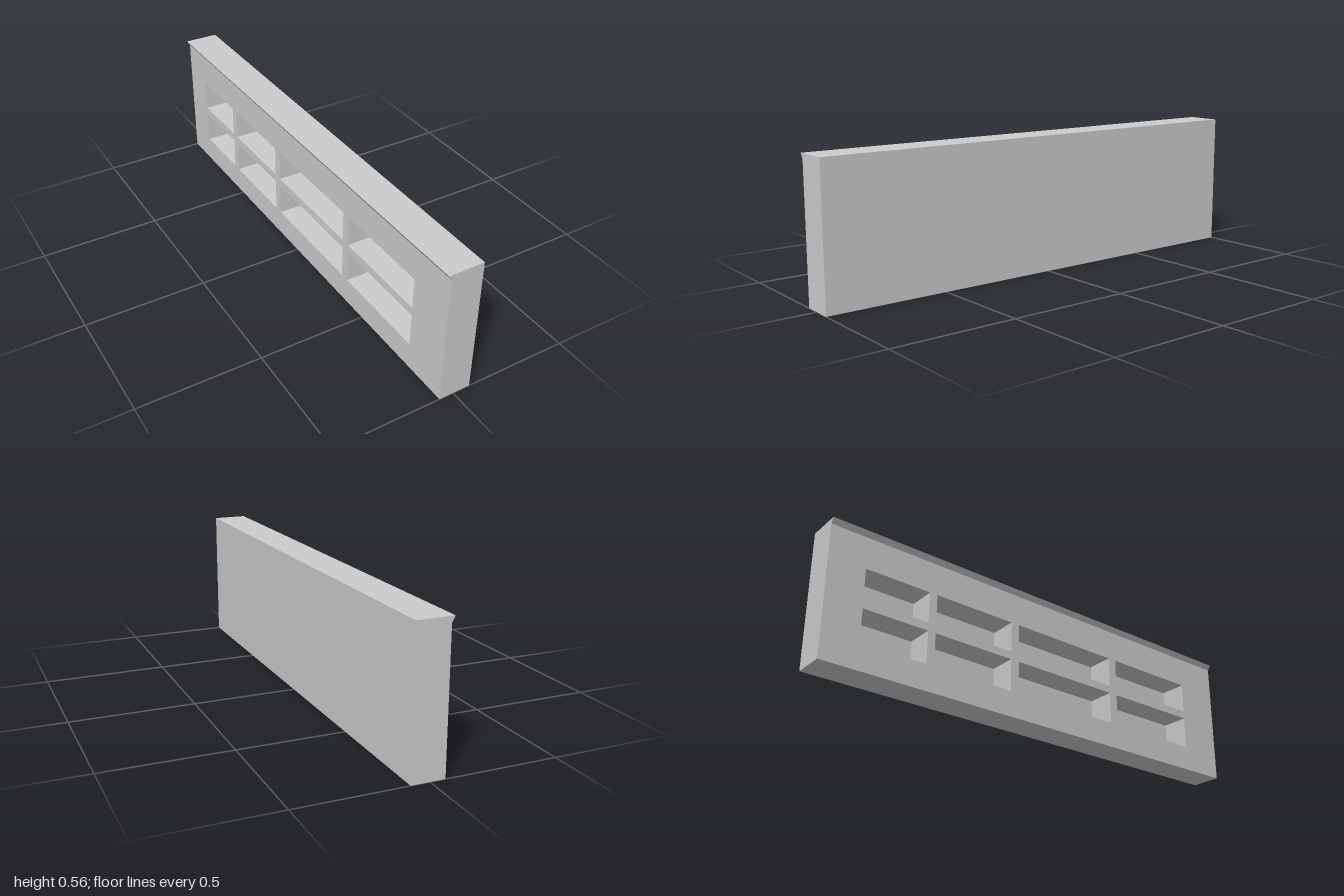
import * as THREE from 'three';

const HEIGHT = 0.56, HALF = 1;
const FACE_X = -0.059, RECESS_X = 0.058, BACK_X = 0.072;

// Openings: z ranges of the columns and y ranges of the rows
const COLUMNS = [[-0.847, -0.57], [-0.537, -0.18], [-0.142, 0.351], [0.389, 0.808]];
const ROWS = [[0.107, 0.244], [0.278, 0.407]];

const polygon = (Type, points) => new Type(points.map(([x, y]) => new THREE.Vector2(x, y)));
const rect = (a, b, c, d) => [[a, c], [b, c], [b, d], [a, d]];

export function createModel() {
  const group = new THREE.Group();
  const material = new THREE.MeshStandardMaterial({ color: 0xcccccc, flatShading: true });
  const add = (name, geometry) => {
    const mesh = new THREE.Mesh(geometry, material);
    mesh.name = name;
    group.add(mesh);
  };

  // Pierced front of the panel, drawn in (-z, y) and extruded along x
  const face = polygon(THREE.Shape, rect(-HALF, HALF, 0, HEIGHT));
  for (const [z0, z1] of COLUMNS) {
    for (const [y0, y1] of ROWS) face.holes.push(polygon(THREE.Path, rect(-z1, -z0, y0, y1)));
  }
  const frame = new THREE.ExtrudeGeometry(face, { depth: RECESS_X - FACE_X, bevelEnabled: false });
  frame.rotateY(Math.PI / 2).translate(FACE_X, 0, 0);
  add('windowFrame', frame);

  // Thin solid wall closing the recesses
  const wall = new THREE.BoxGeometry(BACK_X - RECESS_X, HEIGHT, 2 * HALF);
  wall.translate((BACK_X + RECESS_X) / 2, HEIGHT / 2, 0);
  add('backWall', wall);

  // Wedge-shaped lip along the top edge
  const profile = polygon(THREE.Shape, [[FACE_X, 0.538], [FACE_X, HEIGHT], [-0.072, HEIGHT]]);
  const lip = new THREE.ExtrudeGeometry(profile, { depth: 2 * HALF, bevelEnabled: false });
  lip.translate(0, 0, -HALF);
  add('topLip', lip);

  return group;
}
